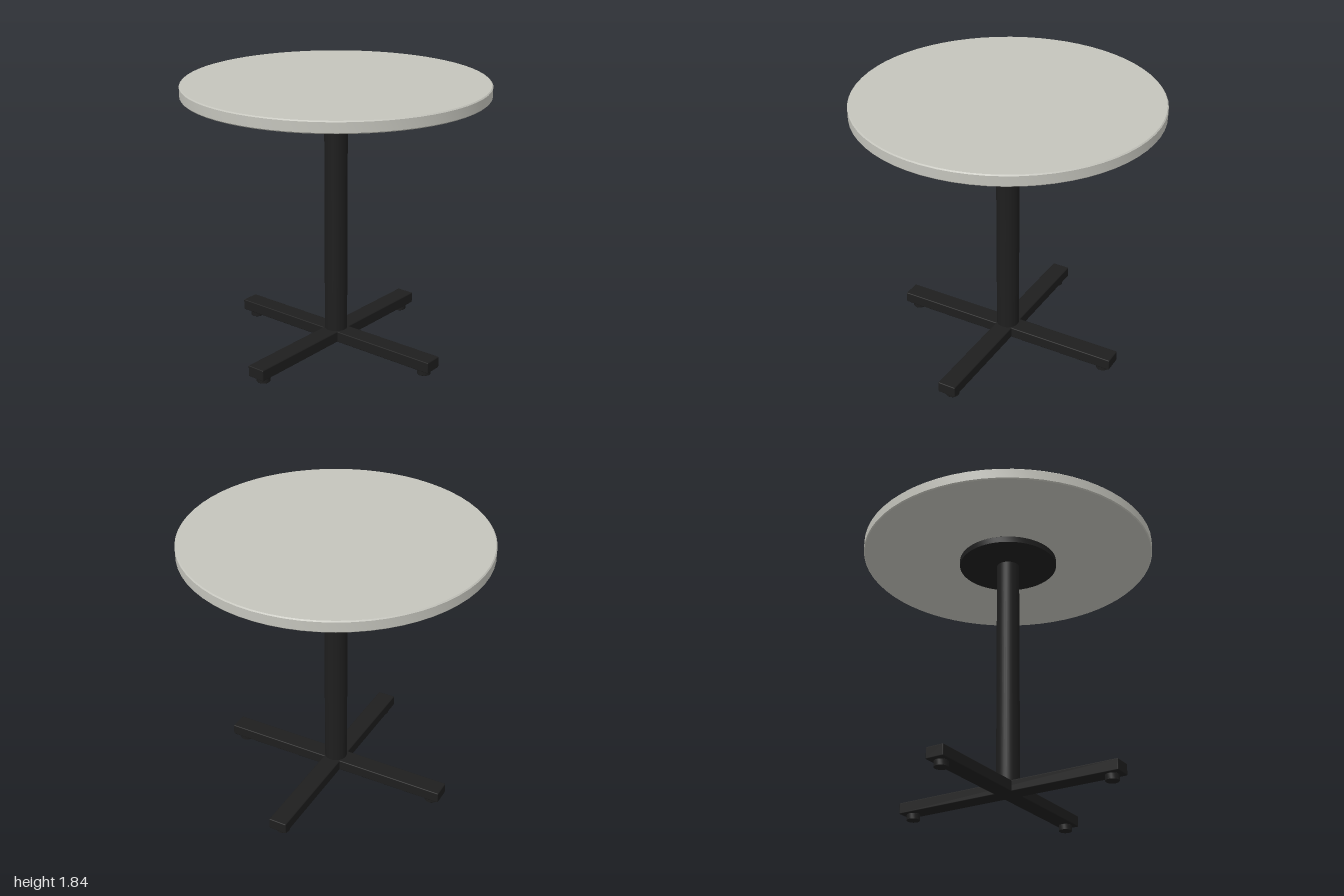
import * as THREE from 'three';
import { toCreasedNormals } from 'three/addons/utils/BufferGeometryUtils.js';
import { RoundedBoxGeometry } from 'three/addons/geometries/RoundedBoxGeometry.js';

const laminate = new THREE.MeshStandardMaterial({ name: 'pale grey laminate', color: 0xc4c4bc });
const metal = new THREE.MeshStandardMaterial({ name: 'black metal', color: 0x1e1e1e });

// Solid disc between two heights, with a small chamfer on both rims
function disc(radius, bottom, top, chamfer, segments) {
  const profile = [
    [0, bottom], [radius - chamfer, bottom], [radius, bottom + chamfer],
    [radius, top - chamfer], [radius - chamfer, top], [0, top],
  ].map(([x, y]) => new THREE.Vector2(x, y));
  return toCreasedNormals(new THREE.LatheGeometry(profile, segments), 0.5);
}

export function createModel() {
  const table = new THREE.Group();
  table.name = 'pedestalTable';

  const add = (name, geometry, material, x = 0, y = 0, z = 0) => {
    const mesh = new THREE.Mesh(geometry, material);
    mesh.name = name;
    mesh.position.set(x, y, z);
    table.add(mesh);
    return mesh;
  };

  // Round top, mounting plate and column
  add('tableTop', disc(1, 1.765, 1.842, 0.007, 64), laminate);
  add('mountingPlate', disc(0.334, 1.712, 1.757, 0.002, 48), metal);
  add('column', new THREE.CylinderGeometry(0.077, 0.077, 1.665, 32), metal, 0, 0.9325, 0);

  // Two crossed base bars
  const bar = new RoundedBoxGeometry(1.628, 0.076, 0.126, 2, 0.006);
  add('baseBarAcross', bar, metal, 0, 0.08, 0);
  add('baseBarDeep', bar, metal, 0, 0.08, 0).rotation.y = Math.PI / 2;

  // A glide foot under each bar end
  const foot = disc(0.045, 0, 0.043, 0.003, 20);
  for (let i = 0; i < 4; i++) {
    const a = i * Math.PI / 2;
    add('foot' + (i + 1), foot, metal, 0.741 * Math.cos(a), 0, 0.741 * Math.sin(a));
  }
  return table;
}
